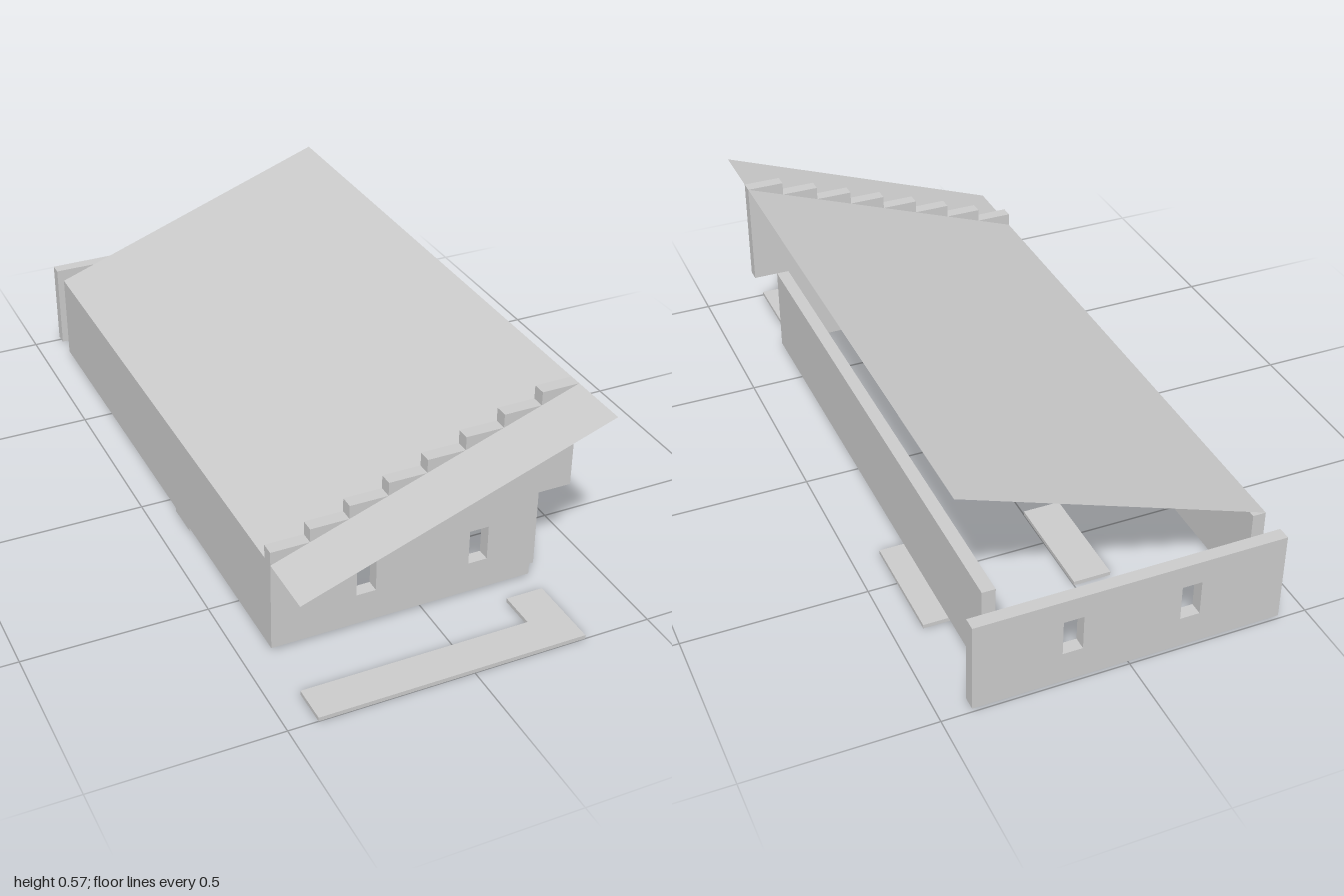
import * as THREE from 'three';

const U = 0.105;           // building module
const T = 0.036;           // wall thickness
const W = 4 * U;           // half width
const BASE = 0.011;        // top of floor slabs, bottom of walls
const EAVE = 0.265, RIDGE = 0.567;
const END = 0.895;         // half length of the roof

export function createModel() {
  const group = new THREE.Group();
  const mat = new THREE.MeshStandardMaterial({ color: 0xcccccc, flatShading: true });
  const roofMat = new THREE.MeshStandardMaterial({ color: 0xcccccc, side: THREE.DoubleSide });

  const add = (name, geo, m = mat) => {
    const mesh = new THREE.Mesh(geo, m);
    mesh.name = name;
    group.add(mesh);
    return mesh;
  };
  const shapeOf = pts => new THREE.Shape(pts.map(p => new THREE.Vector2(...p)));
  const box = (name, x0, x1, y0, y1, z0, z1) =>
    add(name, new THREE.BoxGeometry(x1 - x0, y1 - y0, z1 - z0))
      .position.set((x0 + x1) / 2, (y0 + y1) / 2, (z0 + z1) / 2);

  // Upright wall with two window openings, extruded towards +z from z0
  const windowWall = (name, pts, z0) => {
    const shape = shapeOf(pts);
    for (const x of [-0.16, 0.158]) {
      shape.holes.push(new THREE.Path([[-1, 0.1], [-1, 0.2], [1, 0.2], [1, 0.1]]
        .map(([s, y]) => new THREE.Vector2(x + s * 0.027, y))));
    }
    const geo = new THREE.ExtrudeGeometry(shape, { depth: T, bevelEnabled: false });
    add(name, geo.translate(0, 0, z0));
  };

  // Flat L-shaped slab, outline given as [x, z]
  const slab = (name, pts) => {
    const geo = new THREE.ExtrudeGeometry(shapeOf(pts.map(([x, z]) => [x, -z])),
      { depth: BASE, bevelEnabled: false });
    add(name, geo.rotateX(-Math.PI / 2));
  };

  // Front wall: stepped top, doorway notch at the lower left corner
  const front = [[-W, BASE], [3 * U, BASE], [3 * U, EAVE], [W, EAVE]];
  for (let i = 8; i > 0; i--) {
    const y = EAVE + (RIDGE - EAVE) * i / 8;
    front.push([-W + i * U, y], [-W + (i - 1) * U, y]);
  }
  windowWall('frontWall', front, 0.685);

  // Low back wall, set apart from the side walls
  windowWall('backWall', [[-W, BASE], [W, BASE], [W, EAVE], [-W, EAVE]], -1);

  // Long side walls
  box('rightWall', -W, -W + T, BASE, EAVE, -END, 0.685);
  box('leftWall', 3 * U, 3 * U + T, BASE, EAVE, -END, 0.685);

  // Thin sloping roof
  const roof = add('roof', new THREE.PlaneGeometry(Math.hypot(2 * W, RIDGE - EAVE), 2 * END)
    .rotateX(-Math.PI / 2), roofMat);
  roof.rotation.z = Math.atan2(RIDGE - EAVE, 2 * W);
  roof.position.y = (EAVE + RIDGE) / 2;

  // Ground slabs
  slab('frontSlab', [[-W, 1], [3 * U, 1], [3 * U, 0.79], [2 * U, 0.79], [2 * U, 0.895], [-W, 0.895]]);
  slab('middleSlab', [[-W, 0.162], [0, 0.162], [0, 0.583], [U, 0.583], [U, 0.057], [-W, 0.057]]);
  box('innerBackSlab', -U, 0, 0, BASE, -0.685, -0.37);
  box('outerBackSlab', 3 * U, W, 0, BASE, -0.685, -0.37);

  return group;
}
